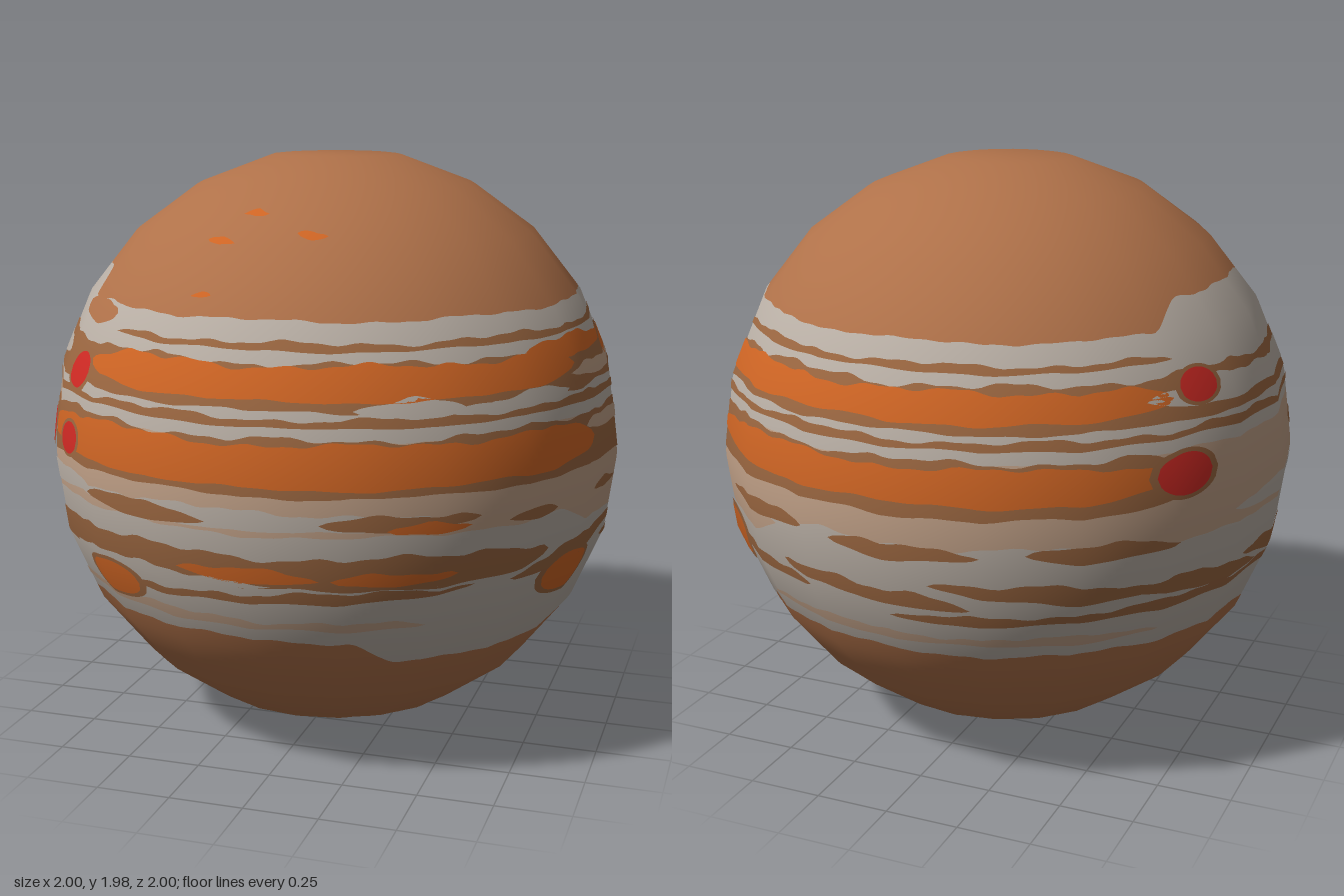
import * as THREE from 'three';

const mat = (name, color) => Object.assign(new THREE.MeshStandardMaterial({ color }), { name });
const brown = mat('cap brown', 0xaf7149);
const grey = mat('pale grey', 0xb9afa5);
const tan = mat('light tan', 0xbf9f86);
const taupe = mat('belt brown', 0x9a6640);
const orange = mat('storm orange', 0xcf6524);
const red = mat('spot red', 0xd02a24);

const RAD = Math.PI / 180;
const LAYER = 0.0028;
const toTheta = (y) => Math.acos(THREE.MathUtils.clamp(y - 1, -1, 1)) / RAD;

// Faceted ball: 20 sides round, rings every 15.5 degrees, flat at both poles
function surface(a, theta, lift) {
  const up = theta > 90 ? 180 - theta : theta;
  let mid = 0, half = 12.5;
  if (up > 12.5) {
    half = 7.75;
    mid = 12.5 + (Math.min(4, Math.floor((up - 12.5) / 15.5)) + 0.5) * 15.5;
  }
  const r = Math.cos(half * RAD) / Math.cos((up - mid) * RAD) + lift;
  const side = Math.cos(9 * RAD) / Math.cos(((((a % 18) + 18) % 18) - 9) * RAD);
  const n = new THREE.Vector3().setFromSphericalCoords(1, theta * RAD, a * RAD);
  return { p: [r * side * n.x, 1 + 1.012 * r * n.y, r * side * n.z], n: n.toArray() };
}

// Skin patch between longitudes a0 and a1; top and bottom give polar angles
function patch(name, material, a0, a1, top, bottom, cols, rows, lift) {
  const pos = [], nor = [], idx = [];
  for (let i = 0; i <= cols; i++) {
    const t = i / cols, a = a0 + (a1 - a0) * t;
    const th0 = top(a, t), th1 = bottom(a, t);
    for (let j = 0; j <= rows; j++) {
      const { p, n } = surface(a, th0 + ((th1 - th0) * j) / rows, lift);
      pos.push(...p);
      nor.push(...n);
      if (i < cols && j < rows) {
        const k = i * (rows + 1) + j, m = k + rows + 1;
        idx.push(k, k + 1, m + 1, k, m + 1, m);
      }
    }
  }
  const g = new THREE.BufferGeometry();
  g.setAttribute('position', new THREE.Float32BufferAttribute(pos, 3));
  g.setAttribute('normal', new THREE.Float32BufferAttribute(nor, 3));
  g.setIndex(idx);
  const mesh = new THREE.Mesh(g, material);
  mesh.name = name;
  return mesh;
}

// Ragged edge, the same all the way round
const ragged = (a, s) =>
  Math.sin(a * 8 * RAD + s) * 0.5 + Math.sin(a * 21 * RAD + s * 2.3) * 0.3 + Math.sin(a * 47 * RAD + s * 4.1) * 0.2;

// Zone edge at height y, raised by dy between longitudes a0 and a1
const zoneEdge = (y, dy = 0, a0 = 0, a1 = 0) => (a) => {
  const { smoothstep } = THREE.MathUtils;
  const inside = smoothstep(a, a0 - 6, a0 + 6) * (1 - smoothstep(a, a1 - 6, a1 + 6));
  return toTheta(y + dy * inside + 0.008 * ragged(a, y * 5));
};

// Ragged streak of height h tapering at both ends, tilted by rise
function streak(name, material, a0, a1, y, h, layer, rise = 0) {
  const len = a1 - a0, seed = a0 + y * 10;
  const edge = (sign) => (a, t) => {
    const end = len >= 360 ? 1 : Math.min(1, Math.sqrt((Math.min(t, 1 - t) * len) / Math.min(14, len / 2)));
    const wave = Math.min(0.012, h * 0.3) * ragged(a, seed + sign);
    return toTheta(y + rise * (t - 0.5) + 0.008 * ragged(a, seed + 9) + end * ((sign * h) / 2 + wave));
  };
  const cols = Math.max(8, Math.ceil(len / 1.5)), rows = Math.max(2, Math.ceil(h * 40));
  return patch(name, material, a0, a1, edge(1), edge(-1), cols, rows, layer * LAYER);
}

// Oval spot, half sizes w (degrees) and h (units)
function spot(name, material, a, y, w, h, layer) {
  const edge = (sign) => (_, t) => toTheta(y + sign * h * Math.sqrt(Math.max(0, 1 - (2 * t - 1) ** 2)));
  return patch(name, material, a - w, a + w, edge(1), edge(-1), 20, 6, layer * LAYER);
}

export function createModel() {
  const root = new THREE.Group();
  root.name = 'bandedPlanet';

  // Main zones, north to south
  const edges = [
    () => 0,
    zoneEdge(1.53, 0.09, -120, -58),
    zoneEdge(1.19),
    zoneEdge(0.9, -0.07, 70, 150),
    zoneEdge(0.53, -0.09, 25, 130),
    () => 180,
  ];
  const zones = [['northCap', brown, 40], ['northZone', grey, 20], ['equatorZone', tan, 16],
    ['southZone', grey, 20], ['southCap', brown, 40]];
  zones.forEach(([name, material, rows], i) =>
    root.add(patch(name, material, -180, 180, edges[i], edges[i + 1], 240, rows, 0)));

  // Brown bands round the ball, with the thin lines above and between them
  root.add(streak('capNotch', brown, -56, -37, 1.5, 0.09, 1));
  root.add(streak('northLine', taupe, -35, 238, 1.458, 0.022, 1));
  root.add(streak('upperBelt', taupe, -180, 180, 1.345, 0.135, 1));
  root.add(streak('middleLine', taupe, -180, 180, 1.243, 0.025, 1));
  root.add(streak('lowerBelt', taupe, -75, 240, 1.11, 0.17, 1));
  root.add(streak('southBelt', taupe, -62, 62, 0.78, 0.1, 1));

  // Orange cores of the belts: start, end, y, height
  const cores = [
    [-42, 72, 1.355, 0.1], [58, 97, 1.405, 0.06], [92, 236, 1.35, 0.09],
    [-58, 76, 1.115, 0.13], [98, 128, 1.125, 0.06], [124, 235, 1.12, 0.11],
    [-14, 14, 0.768, 0.045], [16, 40, 0.765, 0.05],
  ];
  for (const core of cores) root.add(streak('orangeCore', orange, ...core, 2));

  // Pale clouds that break the belts
  root.add(streak('beltGap', grey, -130, -58, 1.345, 0.07, 2));
  root.add(streak('beltGap', tan, 70, 118, 1.32, 0.04, 2));
  root.add(streak('beltGap', tan, 72, 102, 1.15, 0.05, 2));
  for (const a of [20, 46]) root.add(streak('paleCloud', grey, a, a + 22, 1.28, 0.055, 2));
  root.add(streak('southGap', grey, -48, 5, 0.74, 0.03, 2));

  // Pale and dark wisps along the equator
  for (const a of [-110, -40, 150]) root.add(streak('paleWisp', grey, a, a + 75, 0.96 - Math.abs(a + 90) / 4000, 0.06, 1));
  for (const a of [-37, 14, 50, 76, 132, 168, 206]) {
    const small = Math.abs(a - 70) < 25;
    root.add(streak('darkWisp', taupe, a, a + (small ? 13 : 30), 0.925 + 0.02 * Math.sin(a), small ? 0.045 : 0.06, 2));
  }
  root.add(streak('wispCore', orange, 26, 42, 0.925, 0.045, 3));

  // Broken, slanting southern belt round the sides and back
  for (let i = 0; i < 7; i++) {
    const a = 52 + i * 34, rise = i < 2 ? 0.09 : -0.05;
    root.add(streak('southWisp', taupe, a, a + 42, 0.755 + 0.02 * Math.sin(i * 2), 0.055, 1, rise));
  }
  root.add(streak('southLine', taupe, -28, 44, 0.695, 0.035, 2, 0.05));
  root.add(streak('southLine', taupe, 180, 290, 0.685, 0.035, 1, 0.03));
  for (const a of [-60, 140]) root.add(streak('tanLine', tan, a, a + 95, 0.59, 0.03, 1));

  // Flecks on the northern cap
  for (const [a, y] of [[-20, 1.742], [-14, 1.825], [6, 1.765], [-17, 1.59]])
    root.add(streak('capFleck', orange, a, a + (y > 1.6 ? 9 : 5), y, 0.022, 1));

  // Oval storms with brown rims: longitude, y, half width, half height
  const storms = {
    redStorm: [red, [[-45.5, 1.31, 4.5, 0.058], [-46.5, 1.085, 4, 0.052], [-63, 1.075, 4.5, 0.06],
      [115.5, 1.12, 6.5, 0.08], [-117, 1.37, 5, 0.05], [-123, 1.12, 6.5, 0.065]]],
    orangeStorm: [orange, [[-33.5, 0.665, 8, 0.06], [70, 0.68, 8, 0.07], [126, 0.735, 10, 0.085]]],
  };
  for (const [name, [material, list]] of Object.entries(storms)) {
    for (const [a, y, w, h] of list) {
      root.add(spot('stormRim', taupe, a, y, w * 1.25, h * 1.2, 2.5));
      root.add(spot(name, material, a, y, w, h, 3.3));
    }
  }
  return root;
}
